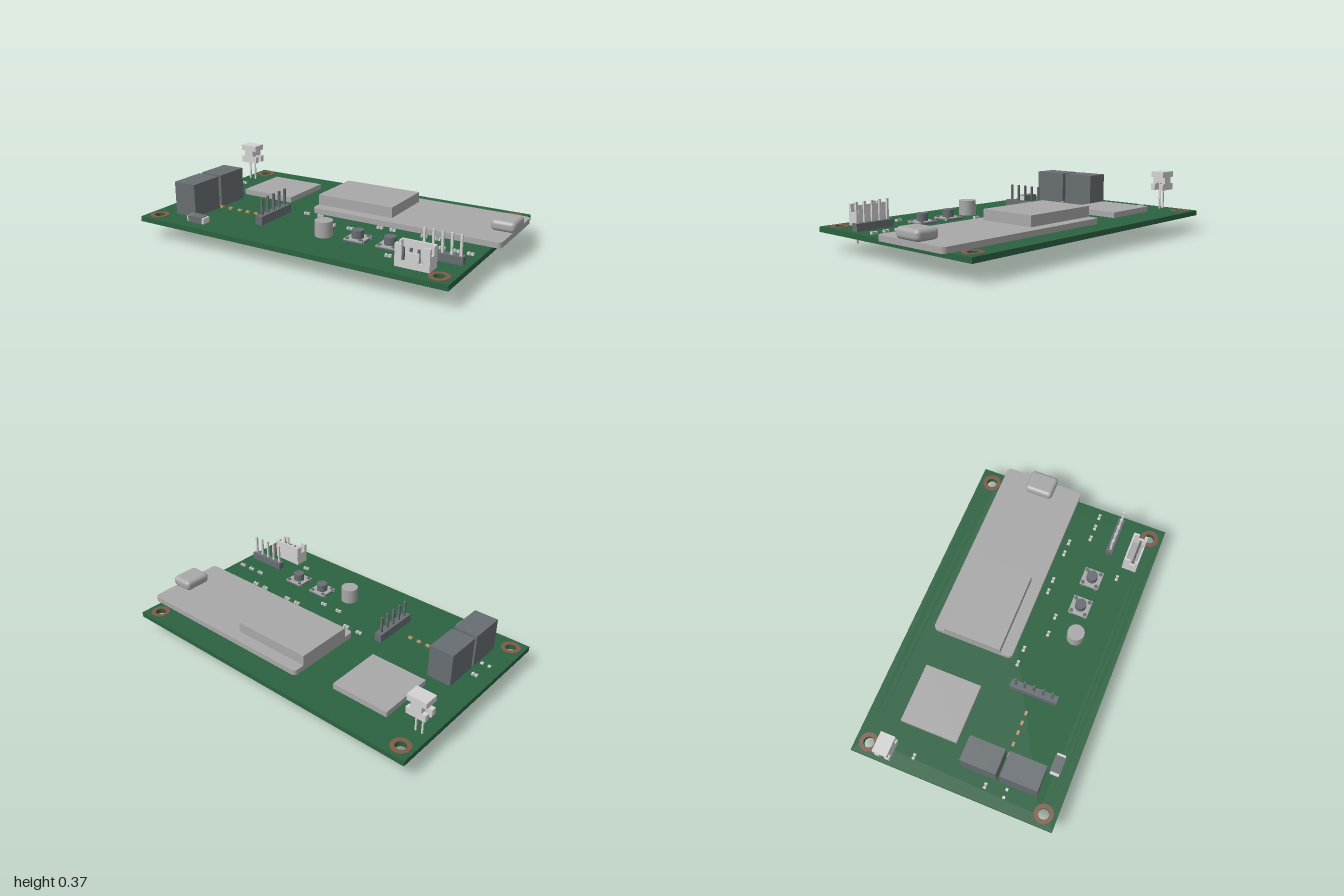
import * as THREE from 'three';
import { RoundedBoxGeometry } from 'three/addons/geometries/RoundedBoxGeometry.js';

const mat = (name, hex, side = THREE.FrontSide) => {
  const m = new THREE.MeshStandardMaterial({ color: hex, side });
  m.name = name;
  return m;
};

export function createModel() {
  const green = mat('board green', 0x2c6240);
  const grey = mat('module grey', 0xa8a8a8);
  const dark = mat('dark plastic', 0x676d71);
  const light = mat('light plastic', 0xd2d2d2);
  const copper = mat('copper', 0x7d5b49);
  const gold = mat('gold pads', 0xb98a45);

  const root = new THREE.Group();
  root.name = 'circuitBoard';
  const TOP = 0.13, BOTTOM = 0.1;

  const group = (name) => {
    const g = new THREE.Group();
    g.name = name;
    root.add(g);
    return g;
  };
  const mesh = (name, geo, material, parent = root) => {
    const m = new THREE.Mesh(geo, material);
    m.name = name;
    parent.add(m);
    return m;
  };
  // Box given by its limits on each axis
  const box = (name, material, [x0, x1], [y0, y1], [z0, z1], parent = root) => {
    const m = mesh(name, new THREE.BoxGeometry(x1 - x0, y1 - y0, z1 - z0), material, parent);
    m.position.set((x0 + x1) / 2, (y0 + y1) / 2, (z0 + z1) / 2);
    return m;
  };
  const cyl = (name, material, x, z, r, y0, y1, parent = root, sides = 32) => {
    const m = mesh(name, new THREE.CylinderGeometry(r, r, y1 - y0, sides), material, parent);
    m.position.set(x, (y0 + y1) / 2, z);
    return m;
  };
  // Flat plan shape (x, -z) raised from y0 to y1
  const slab = (name, material, shape, y0, y1, parent = root) => {
    const geo = new THREE.ExtrudeGeometry(shape, { depth: y1 - y0, bevelEnabled: false, curveSegments: 16 });
    geo.rotateX(-Math.PI / 2);
    const m = mesh(name, geo, material, parent);
    m.position.y = y0;
    return m;
  };
  const circle = (x, y, r) => new THREE.Path().absarc(x, y, r, 0, Math.PI * 2, true);
  const pin = (material, x, z, y0, y1, parent, w = 0.012) =>
    box('pin', material, [x - w / 2, x + w / 2], [y0, y1], [z - w / 2, z + w / 2], parent);

  // Main board with four mounting holes and copper rings
  const holes = [-0.925, 0.855].flatMap((x) => [[x, 0.523], [x, -0.523]]);
  const outline = new THREE.Shape([[-1, -0.6], [0.935, -0.6], [0.935, 0.6], [-1, 0.6]]
    .map(([x, y]) => new THREE.Vector2(x, y)));
  holes.forEach(([x, y]) => outline.holes.push(circle(x, y, 0.03)));
  slab('board', green, outline, BOTTOM, TOP);
  for (const [x, y] of holes) {
    const ring = new THREE.Shape().absarc(x, y, 0.055, 0, Math.PI * 2, false);
    ring.holes.push(circle(x, y, 0.03));
    slab('mountingRing', copper, ring, TOP, TOP + 0.003);
  }

  // Controller module with rounded corners, shield and socket
  const controller = group('controllerModule');
  const [mx0, mx1, my0, my1, mr] = [-0.18, 0.98, -0.03, 0.46, 0.025];
  const plan = new THREE.Shape();
  plan.absarc(mx1 - mr, my1 - mr, mr, 0, Math.PI / 2);
  plan.absarc(mx0 + mr, my1 - mr, mr, Math.PI / 2, Math.PI);
  plan.absarc(mx0 + mr, my0 + mr, mr, Math.PI, Math.PI * 1.5);
  plan.absarc(mx1 - mr, my0 + mr, mr, Math.PI * 1.5, Math.PI * 2);
  slab('moduleBoard', grey, plan, TOP, 0.162, controller);
  box('shield', grey, [-0.18, 0.31], [0.162, 0.224], [-0.39, -0.04], controller);
  const socket = mesh('socket', new RoundedBoxGeometry(0.14, 0.062, 0.172, 5, 0.024), grey, controller);
  socket.position.set(0.925, 0.193, -0.215);

  // Sensor block
  box('sensorModule', grey, [-0.75, -0.4], [TOP, 0.163], [-0.405, -0.065]);

  // Twin dark blocks and the plate beneath them
  for (const [z0, z1] of [[0.01, 0.218], [0.24, 0.455]])
    box('terminalBlock', dark, [-0.855, -0.71], [TOP, 0.325], [z0, z1]);
  box('undersidePlate', dark, [-0.855, -0.29], [0.092, BOTTOM], [0.01, 0.455]);

  // Raised two-pin plug with side notches and a slot below
  const plug = group('twoPinPlug');
  box('plugTop', light, [-0.99, -0.875], [0.33, 0.365], [-0.43, -0.345], plug);
  box('plugWaist', light, [-0.965, -0.9], [0.295, 0.33], [-0.43, -0.345], plug);
  for (const [z0, z1] of [[-0.43, -0.403], [-0.372, -0.345]]) {
    box('plugWall', light, [-0.99, -0.875], [0.25, 0.29], [z0, z1], plug);
    box('plugWallWaist', light, [-0.965, -0.9], [0.29, 0.295], [z0, z1], plug);
  }
  for (const x of [-0.952, -0.913]) pin(light, x, -0.385, 0.065, 0.295, plug, 0.009);

  // Dark pin header along z
  const sideHeader = group('sideHeader');
  box('headerBase', dark, [-0.342, -0.297], [TOP, 0.18], [0.085, 0.37], sideHeader);
  for (let i = 0; i < 5; i++) pin(dark, -0.32, 0.115 + i * 0.055, 0.17, 0.277, sideHeader);

  // Pin header along x
  const frontHeader = group('frontHeader');
  box('headerBase', dark, [0.66, 0.9], [TOP, 0.172], [0.305, 0.345], frontHeader);
  for (let i = 0; i < 5; i++) pin(light, 0.682 + i * 0.05, 0.328, 0.065, 0.286, frontHeader);

  // Four-pin open socket with notched walls
  const open = group('fourPinSocket');
  box('socketFloor', grey, [0.615, 0.795], [TOP, 0.155], [0.435, 0.51], open);
  box('backWall', light, [0.61, 0.8], [TOP, 0.25], [0.428, 0.44], open);
  for (const x of [0.61, 0.788]) {
    box('sideWallLow', light, [x, x + 0.012], [TOP, 0.205], [0.44, 0.515], open);
    box('sideWallBack', light, [x, x + 0.012], [0.205, 0.25], [0.44, 0.465], open);
    box('sideWallFront', light, [x, x + 0.012], [0.205, 0.25], [0.497, 0.515], open);
  }
  box('frontWallLow', light, [0.622, 0.788], [TOP, 0.165], [0.505, 0.515], open);
  for (const [x0, x1] of [[0.622, 0.648], [0.668, 0.742], [0.762, 0.788]])
    box('frontWall', light, [x0, x1], [0.165, x1 - x0 > 0.05 ? 0.215 : 0.25], [0.505, 0.515], open);
  for (let i = 0; i < 4; i++) pin(dark, 0.642 + i * 0.042, 0.482, 0.075, 0.225, open);

  // Push buttons seated through the board, with bent legs
  for (const cx of [0.275, 0.47]) {
    const button = group('pushButton');
    const cz = 0.287;
    box('buttonBody', dark, [cx - 0.058, cx + 0.058], [0.075, 0.137], [cz - 0.058, cz + 0.058], button);
    box('buttonPlate', grey, [cx - 0.058, cx + 0.058], [0.137, 0.143], [cz - 0.058, cz + 0.058], button);
    cyl('buttonCap', dark, cx, cz, 0.033, 0.143, 0.187, button);
    for (const sx of [-1, 1]) for (const sz of [-1, 1]) {
      cyl('rivet', dark, cx + sx * 0.042, cz + sz * 0.042, 0.011, 0.143, 0.149, button, 16);
      const path = new THREE.CurvePath();
      const pts = [[0.056, 0.135], [0.062, 0.085], [0.074, 0.045], [0.062, 0.025], [0.066, 0]]
        .map(([dx, y]) => new THREE.Vector3(cx + sx * dx, y, cz + sz * 0.043));
      for (let i = 1; i < pts.length; i++) path.add(new THREE.LineCurve3(pts[i - 1], pts[i]));
      mesh('buttonLeg', new THREE.TubeGeometry(path, 16, 0.006, 6), light, button);
    }
  }

  // Round buzzer through the board
  cyl('buzzer', grey, 0.085, 0.325, 0.05, 0.05, 0.218);

  // Surface parts: body with a metal cap on each end
  const chip = (name, x, z, w, d, h, body, caps) => {
    const g = group(name);
    const c = w * 0.28;
    box('body', body, [x - w / 2 + c, x + w / 2 - c], [TOP, TOP + h * 0.9], [z - d * 0.42, z + d * 0.42], g);
    for (const s of [-1, 1]) {
      const m = box('endCap', caps, [0, c], [TOP, TOP + h], [z - d / 2, z + d / 2], g);
      m.position.x = x + s * (w - c) / 2;
    }
  };
  const diode = group('diode');
  box('diodeBody', dark, [-0.7, -0.605], [TOP, 0.167], [0.47, 0.53], diode);
  for (const x of [-0.712, -0.605]) box('diodeEnd', light, [x, x + 0.014], [TOP, 0.163], [0.474, 0.526], diode);
  [[-0.19, 0.075], [-0.095, 0.075], [0.295, 0.075], [0.375, 0.075], [0.565, 0.075], [0.645, 0.075],
    [0.045, 0.172], [0.16, 0.172], [0.72, 0.188], [0.8, 0.188], [0.878, 0.188], [0.53, 0.425],
    [-0.905, -0.255], [-0.905, 0.172]]
    .forEach(([x, z]) => chip('resistor', x, z, 0.034, 0.017, 0.014, grey, light));
  [-0.925, -0.88].forEach((x) => box('solderPad', light, [x - 0.008, x + 0.008], [TOP, TOP + 0.008], [0.282, 0.298]));
  [-0.7, -0.635, -0.565, -0.505, -0.445]
    .forEach((x) => chip('indicator', x, 0.228, 0.026, 0.016, 0.012, grey, gold));

  // Rows of small pads on the underside
  const pads = group('undersidePads');
  const row = (x0, x1, z, n) => {
    for (let i = 0; i < n; i++)
      cyl('pad', gold, x0 + (x1 - x0) * i / (n - 1), z, 0.008, BOTTOM - 0.003, BOTTOM, pads, 10);
  };
  row(-0.03, 0.84, -0.44, 18);
  row(0.12, 0.82, 0.01, 15);
  row(-0.7, -0.45, -0.39, 6);
  row(-0.7, -0.45, -0.08, 6);

  return root;
}
